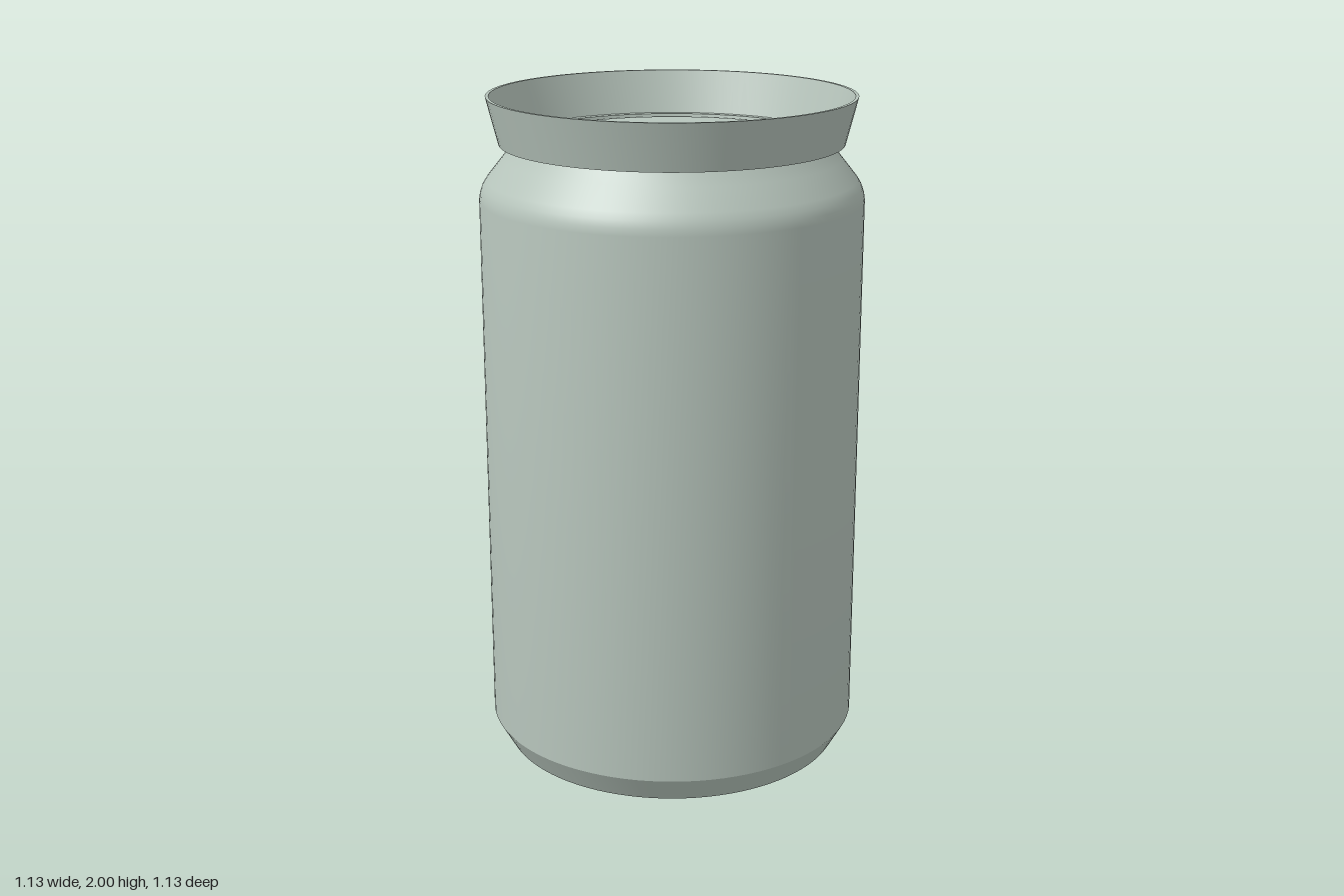
import * as THREE from 'three';
import { toCreasedNormals } from 'three/addons/utils/BufferGeometryUtils.js';

const metal = new THREE.MeshStandardMaterial({ color: 0xb7c5bc });
metal.name = 'pale grey green';

// Turn a profile of [radius, height] pairs around the y axis.
function turned(name, profile) {
  const points = profile.map(([r, y]) => new THREE.Vector2(r, y));
  const geometry = toCreasedNormals(new THREE.LatheGeometry(points, 96), 0.45);
  const mesh = new THREE.Mesh(geometry, metal);
  mesh.name = name;
  return mesh;
}

export function createModel() {
  const can = new THREE.Group();
  can.name = 'can';

  // Flat base, chamfered foot and straight wall, up to a rounded shoulder
  can.add(turned('body', [
    [0, 0], [0.52, 0], [0.565, 0.08], [0.565, 1.7],
    [0.562, 1.72], [0.555, 1.74], [0.543, 1.76],
    [0.495, 1.82], [0.48, 1.84], [0.465, 1.862],
  ]));

  // Flared collar with a thin lip, open at the top
  can.add(turned('rim', [
    [0.465, 1.862], [0.505, 1.862], [0.54, 2], [0.53, 2],
    [0.49, 1.872], [0.466, 1.872],
  ]));

  // Slightly recessed lid inside the collar
  can.add(turned('lid', [
    [0.466, 1.872], [0.464, 1.862], [0.453, 1.862], [0.45, 1.865], [0, 1.865],
  ]));

  return can;
}
